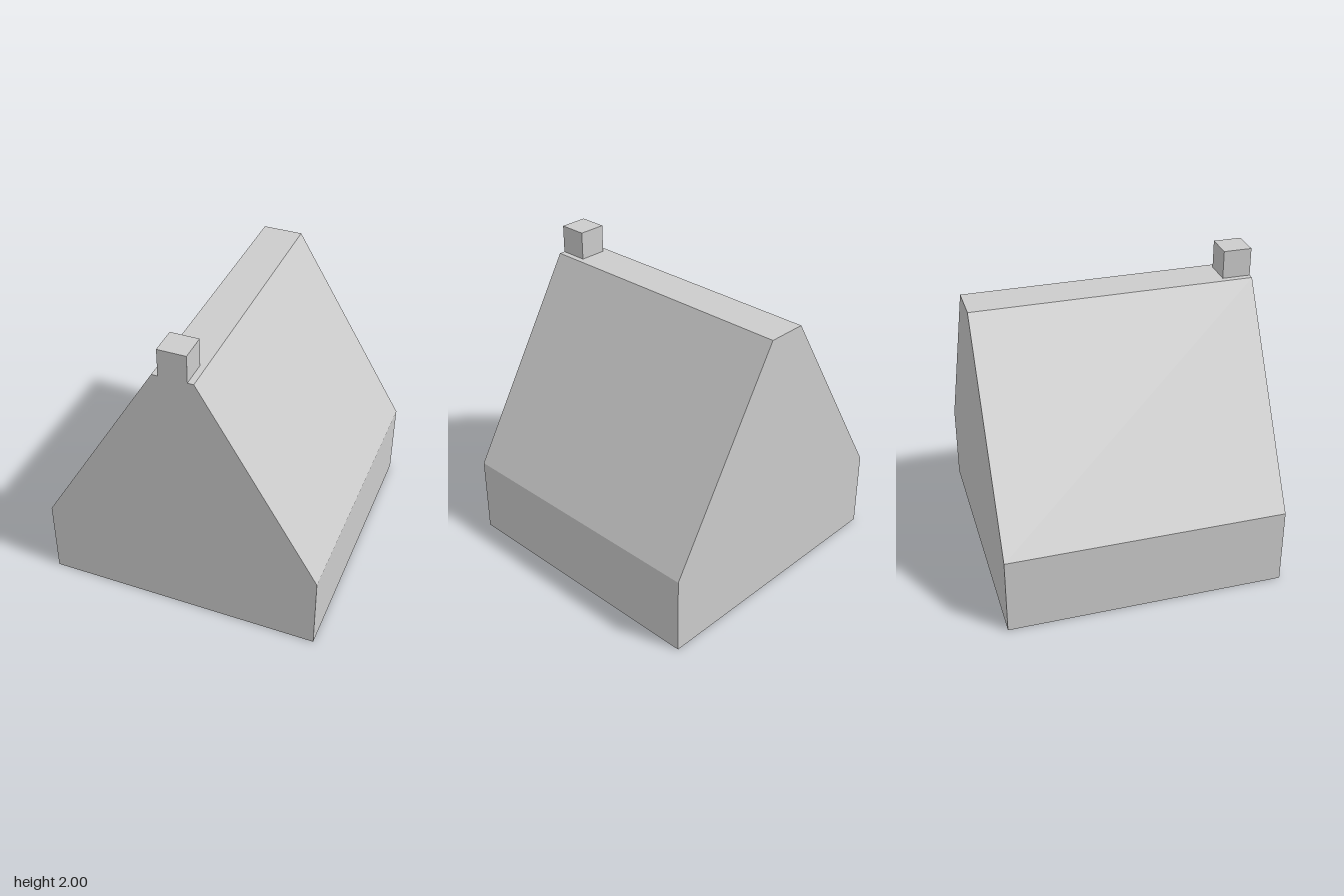
import * as THREE from 'three';

const HALF = 0.909;      // half width and half depth of the house
const EAVES = 0.52;      // top of the side walls
const RIDGE = 1.818;     // height of the flat ridge
const RIDGE_HALF = 0.13; // half width of the flat ridge
const CHIMNEY = 0.182;   // edge of the cubic chimney

export function createModel() {
  const model = new THREE.Group();
  model.name = 'house';
  const material = new THREE.MeshStandardMaterial({ color: 0xcccccc, flatShading: true });

  // House body: gable outline with a flat ridge, extruded front to back
  const gable = new THREE.Shape([
    [-HALF, 0], [HALF, 0], [HALF, EAVES],
    [RIDGE_HALF, RIDGE], [-RIDGE_HALF, RIDGE], [-HALF, EAVES],
  ].map(([x, y]) => new THREE.Vector2(x, y)));
  const bodyGeometry = new THREE.ExtrudeGeometry(gable, { depth: 2 * HALF, bevelEnabled: false });
  bodyGeometry.translate(0, 0, -HALF);
  const body = new THREE.Mesh(bodyGeometry, material);
  body.name = 'houseBody';
  model.add(body);

  // Chimney: cube on the ridge, flush with the front gable
  const chimney = new THREE.Mesh(new THREE.BoxGeometry(CHIMNEY, CHIMNEY, CHIMNEY), material);
  chimney.name = 'chimney';
  chimney.position.set(0, RIDGE + CHIMNEY / 2, HALF - CHIMNEY / 2);
  model.add(chimney);

  return model;
}
